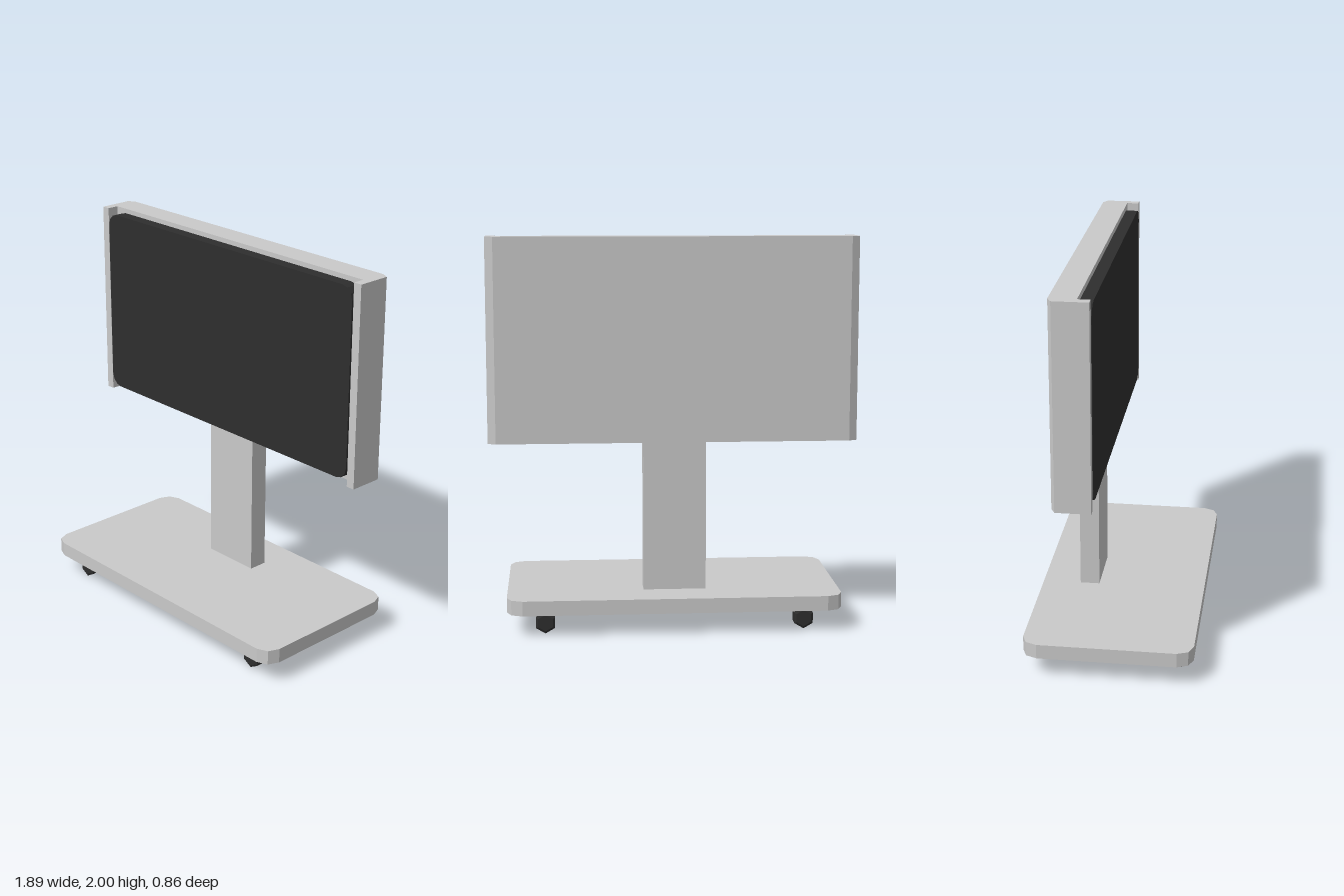
import * as THREE from 'three';

// Rectangle outline with faceted rounded corners
function roundedRect(halfW, halfH, r, segments) {
  const pts = [];
  const corners = [[1, 1], [-1, 1], [-1, -1], [1, -1]];
  corners.forEach(([sx, sy], c) => {
    for (let i = 0; i <= segments; i++) {
      const a = (c + i / segments) * Math.PI / 2;
      pts.push(new THREE.Vector2(
        sx * (halfW - r) + r * Math.cos(a),
        sy * (halfH - r) + r * Math.sin(a)));
    }
  });
  return pts;
}

function extrude(shape, depth) {
  return new THREE.ExtrudeGeometry(shape, { depth, bevelEnabled: false });
}

// Extrude upwards from y0 to y1; shape y becomes -z
function extrudeUp(shape, y0, y1) {
  return extrude(shape, y1 - y0).rotateX(-Math.PI / 2).translate(0, y0, 0);
}

export function createModel() {
  const model = new THREE.Group();
  const grey = new THREE.MeshStandardMaterial({ color: 0xcacaca });
  grey.name = 'lightGrey';
  const black = new THREE.MeshStandardMaterial({ color: 0x2e2e2e });
  black.name = 'nearBlack';

  const add = (name, geometry, material, parent = model) => {
    const mesh = new THREE.Mesh(geometry, material);
    mesh.name = name;
    parent.add(mesh);
    return mesh;
  };

  // Base: a thin tray turned upside down, open below
  const base = new THREE.Group();
  base.name = 'base';
  model.add(base);
  const t = 0.004;
  const rim = new THREE.Shape(roundedRect(0.855, 0.43, 0.08, 2));
  rim.holes.push(new THREE.Path(roundedRect(0.855 - t, 0.43 - t, 0.08 - t, 2).reverse()));
  add('baseRim', extrudeUp(rim, 0.111, 0.187 - t), grey, base);
  const plate = new THREE.Shape(roundedRect(0.855, 0.43, 0.08, 2));
  add('basePlate', extrudeUp(plate, 0.187 - t, 0.187), grey, base);

  // Column
  const column = new THREE.BoxGeometry(0.322, 0.782, 0.101);
  add('column', column.translate(-0.006, 0.572, -0.181), grey);

  // Housing: chamfered back, side lips around a front recess
  const right = [[0.943, 0.053], [0.943, 0.229], [0.902, 0.25]];
  const outline = [
    [0.898, 0.115], [0.898, 0.053], ...right,
    ...right.map(([x, y]) => [-x, y]).reverse(),
    [-0.898, 0.053], [-0.898, 0.115],
  ].map(([x, y]) => new THREE.Vector2(x, y));
  add('housing', extrudeUp(new THREE.Shape(outline), 0.958, 2), grey);

  // Screen panel
  const screen = extrude(new THREE.Shape(roundedRect(0.892, 0.494, 0.065, 3)), 0.063);
  add('screen', screen.translate(0, 1.482, -0.113), black);

  // Six-sided wheels with chamfered edges
  const profile = [[0, -0.04], [0.043, -0.04], [0.055, -0.034],
    [0.055, 0.034], [0.043, 0.04], [0, 0.04]]
    .map(([x, y]) => new THREE.Vector2(x, y));
  const wheel = new THREE.LatheGeometry(profile, 6).rotateX(Math.PI / 2).toNonIndexed();
  wheel.computeVertexNormals();
  for (const x of [-0.661, 0.661]) {
    for (const z of [-0.324, 0.324]) {
      add((z > 0 ? 'front' : 'back') + (x > 0 ? 'Left' : 'Right') + 'Wheel', wheel, black)
        .position.set(x, 0.055, z);
    }
  }
  return model;
}
